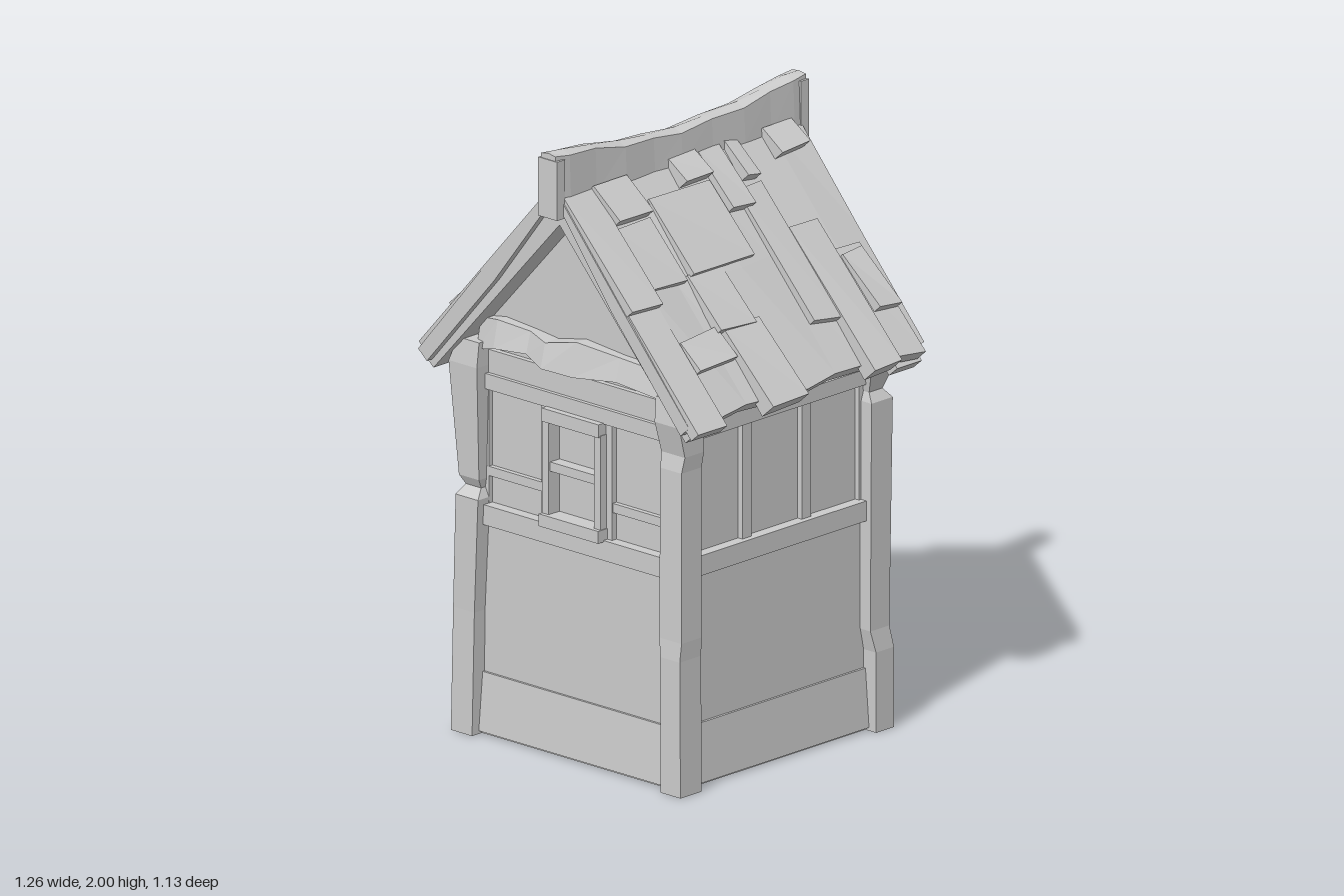
import * as THREE from 'three';

const material = new THREE.MeshStandardMaterial({ color: 0xcccccc, flatShading: true });

// Seeded noise in -1..1
let seed = 7;
const rnd = () => ((seed = (seed * 16807) % 2147483647) / 2147483647) * 2 - 1;

function add(parent, name, geometry) {
  const mesh = new THREE.Mesh(geometry, material);
  mesh.name = name;
  parent.add(mesh);
  return mesh;
}

// Box given by its limits
function box(parent, name, x0, x1, y0, y1, z0, z1) {
  const g = new THREE.BoxGeometry(x1 - x0, y1 - y0, z1 - z0);
  g.translate((x0 + x1) / 2, (y0 + y1) / 2, (z0 + z1) / 2);
  return add(parent, name, g);
}

// Move every vertex by a rule
function warp(geometry, rule) {
  const p = geometry.attributes.position;
  for (let i = 0; i < p.count; i++) p.setXYZ(i, ...rule(p.getX(i), p.getY(i), p.getZ(i)));
  geometry.computeVertexNormals();
  return geometry;
}

// Roof pitch: x is the distance from the ridge, h the height above the surface
const SLOPE = 1.14, TOP = 1.88, LEN = Math.hypot(1, SLOPE);
const onRoof = (side, x, h, z) => [side * (x + (h * SLOPE) / LEN), TOP - SLOPE * x + h / LEN, z];

// One timber-framed wall facing +z
function wall(withWindow) {
  const g = new THREE.Group();
  box(g, 'lowerPanel', -0.43, 0.43, 0.02, 0.7, 0.3, 0.432);
  box(g, 'upperPanel', -0.42, 0.42, 0.7, 1.26, 0.3, 0.42);
  // Skirting with a bevelled top edge
  add(g, 'baseBoard', warp(new THREE.BoxGeometry(0.86, 0.19, 0.1), (x, y, z) =>
    [x, y + 0.105, z > 0 ? (y > 0 ? 0.44 : 0.455) : 0.35]));
  box(g, 'middleRail', -0.42, 0.42, 0.685, 0.75, 0.35, 0.458);
  box(g, 'upperRail', -0.42, 0.42, 1.125, 1.175, 0.35, 0.452);
  box(g, 'headBoard', -0.42, 0.42, 1.175, 1.25, 0.35, 0.438);
  for (const s of [-1, 1]) {
    box(g, 'edgeBatten', s * 0.39 - 0.02, s * 0.39 + 0.02, 0.75, 1.125, 0.38, 0.436);
    if (!withWindow) box(g, 'batten', s * 0.133 - 0.02, s * 0.133 + 0.02, 0.75, 1.125, 0.38, 0.438);
  }
  if (withWindow) {
    box(g, 'leftStile', 0.105, 0.157, 0.75, 1.125, 0.38, 0.44);
    box(g, 'rightStile', -0.143, -0.085, 0.75, 1.125, 0.38, 0.44);
    for (const [x0, x1] of [[-0.4, -0.14], [0.15, 0.4]]) {
      box(g, 'sideRail', x0, x1, 0.84, 0.87, 0.38, 0.437);
    }
    box(g, 'windowSill', -0.115, 0.137, 0.745, 0.785, 0.38, 0.482);
    box(g, 'windowHead', -0.11, 0.132, 1.085, 1.128, 0.38, 0.475);
    box(g, 'windowBar', -0.09, 0.112, 0.925, 0.955, 0.38, 0.462);
    for (const x of [-0.1, 0.12]) box(g, 'windowJamb', x - 0.014, x + 0.014, 0.78, 1.09, 0.38, 0.468);
  }
  return g;
}

// Rough corner post; each row is [height, inner edge x, outer x, inner edge z, outer z]
function post(parent, sx, sz, rows) {
  const n = rows.length - 1;
  const g = new THREE.BoxGeometry(1, n, 1, 1, n, 1);
  add(parent, 'cornerPost', warp(g, (x, y, z) => {
    const [h, xi, xo, zi, zo] = rows[Math.round(y + n / 2)];
    return [sx * (x * sx > 0 ? xo : xi), h, sz * (z * sz > 0 ? zo : zi)];
  }));
}

// Wedge-shaped shingle, thicker at its lower end
function shingle(parent, side, x0, x1, z0, z1, t) {
  const jitter = Array.from({ length: 8 }, () => rnd() * 0.007);
  add(parent, 'shingle', warp(new THREE.BoxGeometry(1, 1, 1), (x, y, z) => {
    const low = x * side > 0, k = (low ? 4 : 0) + (z > 0 ? 2 : 0);
    const h = y > 0 ? (low ? t : t * 0.45) + jitter[k + 1] * 0.8 : -0.015;
    const end = (low ? x1 - (t * SLOPE) / LEN : x0) + jitter[k];
    return onRoof(side, end, h, (z > 0 ? z1 : z0) + jitter[k + 1]);
  }));
}

// Shingles: [upper x, lower x, back z, front z, thickness]
const shinglesLeft = [
  [0.02, 0.12, -0.49, -0.36, 0.045], [0.33, 0.51, -0.48, -0.39, 0.06], [0.31, 0.6, -0.49, -0.37, 0.035],
  [0.24, 0.62, -0.375, -0.25, 0.045], [0.02, 0.145, -0.24, -0.19, 0.04], [0.13, 0.47, -0.25, -0.14, 0.03],
  [0.02, 0.195, -0.165, -0.07, 0.035], [0.02, 0.115, -0.06, 0.06, 0.045], [0.09, 0.29, -0.06, 0.21, 0.025],
  [0.26, 0.43, 0.08, 0.23, 0.03], [0.4, 0.62, 0.05, 0.21, 0.045], [0.02, 0.155, 0.25, 0.4, 0.045],
  [0.13, 0.29, 0.24, 0.4, 0.018], [0.39, 0.49, 0.23, 0.4, 0.035], [0.02, 0.33, 0.4, 0.535, 0.035],
  [0.3, 0.61, 0.405, 0.535, 0.025],
];
const shinglesRight = [
  [0.02, 0.24, -0.5, -0.39, 0.045], [0.2, 0.615, -0.49, -0.375, 0.035], [0.02, 0.11, -0.385, -0.27, 0.045],
  [0.08, 0.32, -0.37, -0.27, 0.03], [0.28, 0.59, -0.375, -0.26, 0.045], [0.02, 0.24, -0.255, -0.13, 0.04],
  [0.2, 0.59, -0.25, -0.13, 0.02], [0.02, 0.14, -0.12, -0.015, 0.04], [0.02, 0.26, -0.01, 0.145, 0.045],
  [0.22, 0.42, 0.0, 0.14, 0.03], [0.38, 0.62, -0.005, 0.135, 0.045], [0.02, 0.165, 0.16, 0.245, 0.04],
  [0.28, 0.41, 0.25, 0.36, 0.035], [0.02, 0.13, 0.385, 0.45, 0.045], [0.1, 0.32, 0.38, 0.465, 0.045],
  [0.29, 0.5, 0.375, 0.465, 0.045], [0.02, 0.585, 0.475, 0.535, 0.025],
];

export function createModel() {
  const model = new THREE.Group();
  model.name = 'cottage';

  // Floor and four walls; windows on the front and the right
  const body = new THREE.Group();
  body.name = 'body';
  model.add(body);
  box(body, 'floor', -0.44, 0.44, 0, 0.025, -0.44, 0.44);
  [['frontWall', 0, true], ['leftWall', 1, false], ['backWall', 2, false], ['rightWall', 3, true]].forEach(
    ([name, turn, withWindow]) => {
      const w = wall(withWindow);
      w.name = name;
      w.rotation.y = (turn * Math.PI) / 2;
      body.add(w);
    });

  // Corner posts, each worn differently
  post(body, -1, 1, [[0, 0.395, 0.485, 0.39, 0.485], [0.4, 0.39, 0.48, 0.39, 0.48], [0.77, 0.37, 0.465, 0.38, 0.485],
    [0.8, 0.385, 0.45, 0.39, 0.455], [0.83, 0.38, 0.465, 0.385, 0.47], [1.2, 0.37, 0.49, 0.38, 0.49], [1.28, 0.37, 0.46, 0.38, 0.48]]);
  post(body, 1, 1, [[0, 0.405, 0.49, 0.39, 0.485], [0.44, 0.405, 0.487, 0.39, 0.485], [0.5, 0.395, 0.49, 0.39, 0.48],
    [1.05, 0.395, 0.485, 0.385, 0.475], [1.1, 0.39, 0.49, 0.38, 0.465], [1.2, 0.385, 0.49, 0.38, 0.49], [1.28, 0.38, 0.46, 0.38, 0.48]]);
  post(body, 1, -1, [[0, 0.39, 0.485, 0.395, 0.475], [0.26, 0.39, 0.485, 0.395, 0.475], [0.33, 0.39, 0.475, 0.38, 0.465],
    [1.07, 0.385, 0.48, 0.38, 0.475], [1.1, 0.39, 0.46, 0.39, 0.45], [1.18, 0.38, 0.485, 0.375, 0.48], [1.28, 0.38, 0.46, 0.38, 0.47]]);
  post(body, -1, -1, [[0, 0.395, 0.485, 0.39, 0.48], [0.5, 0.39, 0.48, 0.385, 0.475], [0.95, 0.385, 0.475, 0.385, 0.47],
    [1.03, 0.39, 0.455, 0.39, 0.455], [1.13, 0.375, 0.485, 0.38, 0.485], [1.28, 0.38, 0.46, 0.38, 0.48]]);

  // Gable ends: triangular panel, rough tie beam and a pair of rafters
  const beamRows = [[1.25, 1.35, 0.46], [1.275, 1.365, 0.48], [1.285, 1.355, 0.47], [1.265, 1.345, 0.5], [1.26, 1.37, 0.485], [1.28, 1.355, 0.47], [1.27, 1.35, 0.48]];
  const beamX = [-0.4, -0.31, -0.18, -0.09, 0.03, 0.2, 0.4];
  const gableShape = new THREE.Shape([[-0.47, 1.24], [0.47, 1.24], [0.47, 1.28], [0, 1.82], [-0.47, 1.28]]
    .map(([x, y]) => new THREE.Vector2(x, y)));
  for (const s of [1, -1]) {
    const gable = new THREE.Group();
    gable.name = s > 0 ? 'frontGable' : 'backGable';
    gable.rotation.y = s > 0 ? 0 : Math.PI;
    model.add(gable);
    const panel = new THREE.ExtrudeGeometry(gableShape, { depth: 0.06, bevelEnabled: false });
    add(gable, 'gablePanel', panel.translate(0, 0, 0.36));
    add(gable, 'tieBeam', warp(new THREE.BoxGeometry(6, 1, 1, 6, 1, 1), (x, y, z) => {
      const i = Math.round(x + 3), [lo, hi, out] = beamRows[i];
      return [beamX[i], y > 0 ? hi : lo, z > 0 ? (y > 0 ? out - 0.02 : out) : 0.38];
    }));
    for (const side of [-1, 1]) {
      add(gable, 'rafter', warp(new THREE.BoxGeometry(1, 1, 1), (x, y, z) => {
        const low = x * side > 0;
        const px = low ? (y > 0 ? 0.57 : 0.535) : 0;
        const py = low ? (y > 0 ? 1.2 : 1.17) : (y > 0 ? 1.84 : 1.755);
        return [side * px, py, z > 0 ? 0.51 : 0.4];
      }));
    }
  }

  // Roof slabs with an uneven eave, covered in shingles
  for (const side of [1, -1]) {
    const pitch = new THREE.Group();
    pitch.name = side > 0 ? 'leftRoof' : 'rightRoof';
    model.add(pitch);
    const wave = Array.from({ length: 9 }, () => rnd());
    add(pitch, 'roofSlab', warp(new THREE.BoxGeometry(2, 1, 8, 2, 1, 8), (x, y, z) => {
      const u = (x * side + 1) / 2, k = Math.round(z + 4);
      const d = u * (0.565 + wave[k] * 0.012);
      const h = y > 0 ? 0.004 + (u === 0.5 ? wave[(k + 3) % 9] * 0.008 : 0) : -0.045;
      const p = onRoof(side, d, h, (z / 4) * 0.535);
      if (u === 0) p[0] = 0;
      return p;
    }));
    for (const [x0, x1, z0, z1, t] of side > 0 ? shinglesLeft : shinglesRight) shingle(pitch, side, x0, x1, z0, z1, t);
  }

  // Sagging ridge beam with a hanging block at each end
  const ridgeTop = [1.995, 1.995, 1.975, 1.96, 1.95, 1.945, 1.95, 1.962, 1.98, 1.995, 1.995];
  const ridgeZ = [-0.56, -0.5, -0.4, -0.28, -0.14, 0, 0.12, 0.25, 0.38, 0.5, 0.56];
  add(model, 'ridgeBeam', warp(new THREE.BoxGeometry(2, 1, 10, 2, 1, 10), (x, y, z) => {
    const i = Math.round(z + 5), wide = 0.036 + (i % 2) * 0.004;
    const crown = x === 0 ? 0.005 : i % 2 ? -0.008 : 0;
    return [x * (y > 0 ? wide - 0.006 : wide), y > 0 ? ridgeTop[i] + crown : 1.84, ridgeZ[i]];
  }));
  for (const s of [-1, 1]) {
    const z = s * 0.545;
    box(model, 'ridgeEnd', -0.04, 0.04, 1.79, 1.98, z - 0.018, z + 0.018);
  }
  return model;
}
